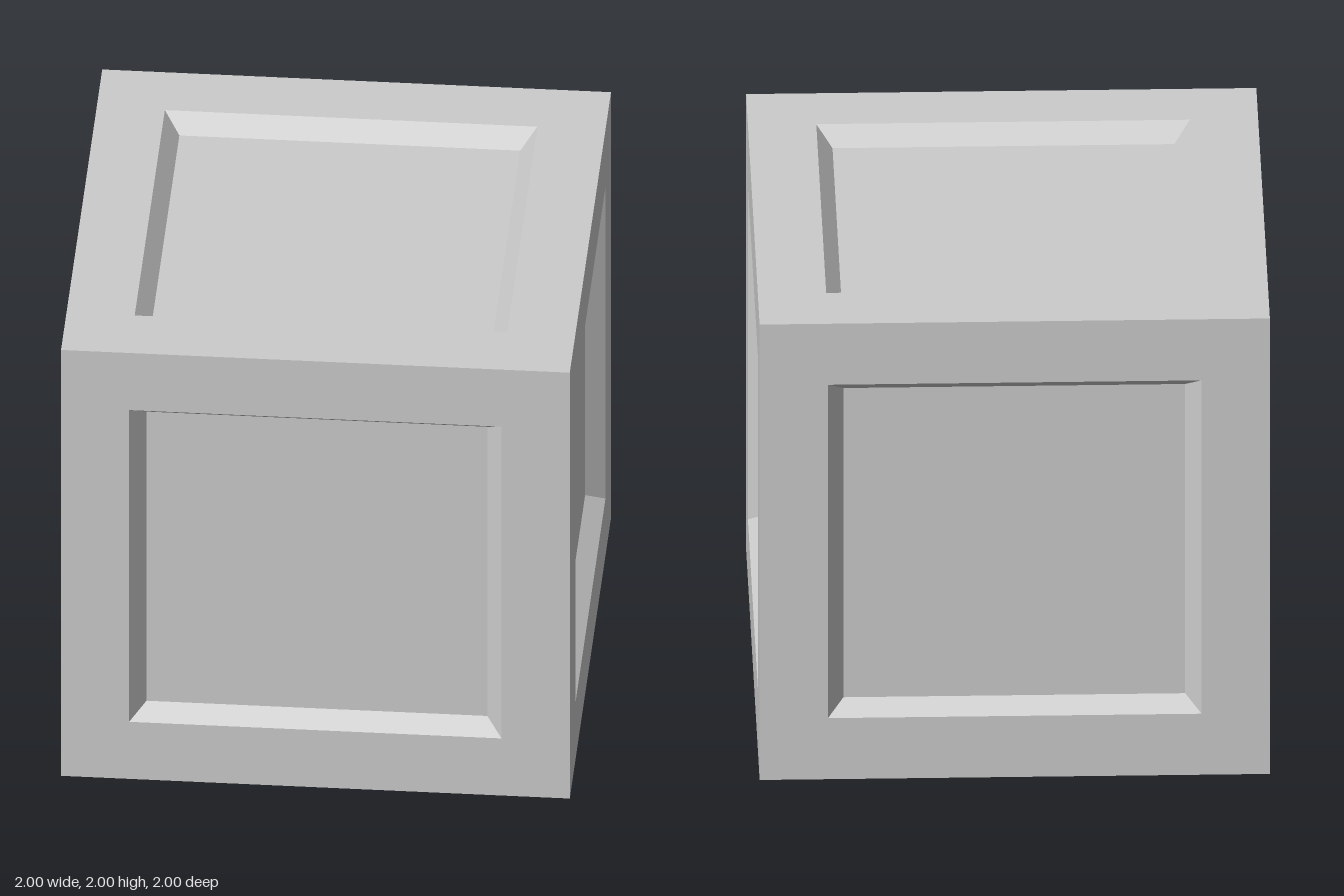
import * as THREE from 'three';

// Corners of a rectangle facing +z, counter-clockwise
const ring = (hx, hy, z) => [[-hx, -hy, z], [hx, -hy, z], [hx, hy, z], [-hx, hy, z]];

// One cube side: flat frame, bevelled recess walls and sunken floor
function panelGeometry(floorX, floorY) {
  const loops = [ring(1, 1, 1), ring(0.732, 0.732, 1), ring(floorX, floorY, 0.925)];
  const points = [];
  const quad = (a, b, c, d) => points.push(...a, ...b, ...c, ...a, ...c, ...d);
  for (let l = 0; l < 2; l++) {
    const outer = loops[l], inner = loops[l + 1];
    for (let i = 0; i < 4; i++) {
      const j = (i + 1) % 4;
      quad(outer[i], outer[j], inner[j], inner[i]);
    }
  }
  quad(...loops[2]);
  const geometry = new THREE.BufferGeometry();
  geometry.setAttribute('position', new THREE.Float32BufferAttribute(points, 3));
  geometry.computeVertexNormals();
  return geometry;
}

export function createModel() {
  const model = new THREE.Group();
  model.name = 'panelledCube';
  const material = new THREE.MeshStandardMaterial({ color: 0xcccccc, flatShading: true });
  const sideGeometry = panelGeometry(0.67, 0.679);
  const capGeometry = panelGeometry(0.67, 0.67);

  const addPanel = (name, geometry, rx, ry) => {
    const panel = new THREE.Mesh(geometry, material);
    panel.name = name;
    panel.rotation.set(rx, ry, 0);
    panel.position.y = 1;
    model.add(panel);
  };

  // Four upright sides
  ['frontPanel', 'leftPanel', 'backPanel', 'rightPanel'].forEach((name, i) =>
    addPanel(name, sideGeometry, 0, i * Math.PI / 2));

  // Top and bottom
  addPanel('topPanel', capGeometry, -Math.PI / 2, 0);
  addPanel('bottomPanel', capGeometry, Math.PI / 2, 0);

  return model;
}
